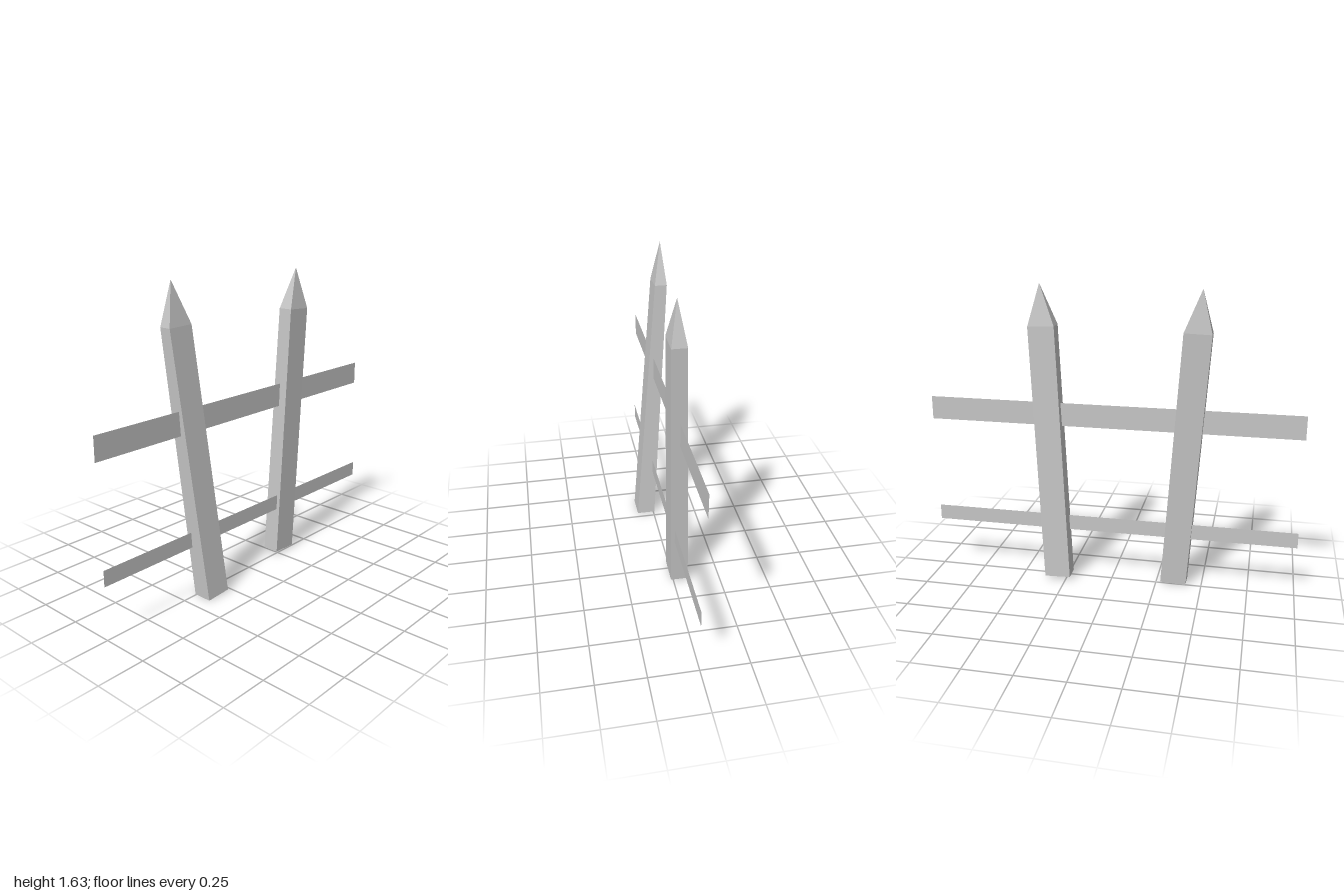
import * as THREE from 'three';

// Four corners of a post section, counter-clockwise seen from above
function section(x0, x1, z0, z1, yLeft, yRight) {
  return [[x0, yLeft, z1], [x1, yRight, z1], [x1, yRight, z0], [x0, yLeft, z0]];
}

// Hollow leaning post, open at the foot, with a four-sided point
function makePost(name, bottom, top, apex, material) {
  const points = [];
  for (let i = 0; i < 4; i++) {
    const j = (i + 1) % 4;
    points.push(bottom[i], bottom[j], top[j], bottom[i], top[j], top[i]);
    points.push(top[i], top[j], apex);
  }
  const geometry = new THREE.BufferGeometry();
  geometry.setAttribute('position', new THREE.Float32BufferAttribute(points.flat(), 3));
  geometry.computeVertexNormals();
  const post = new THREE.Mesh(geometry, material);
  post.name = name;
  return post;
}

// Flat board running the full width
function makeRail(name, y0, y1, z, material) {
  const rail = new THREE.Mesh(new THREE.PlaneGeometry(2, y1 - y0), material);
  rail.position.set(0, (y0 + y1) / 2, z);
  rail.name = name;
  return rail;
}

export function createModel() {
  const wood = new THREE.MeshStandardMaterial({ color: 0xc6c6c6 });
  wood.name = 'paleGreyWood';
  wood.side = THREE.DoubleSide;
  wood.flatShading = true;

  const fence = new THREE.Group();
  fence.name = 'fence';
  fence.add(
    makePost('rightPost',
      section(-0.415, -0.275, -0.005, 0.096, 0, 0.008),
      section(-0.518, -0.376, -0.097, -0.032, 1.41, 1.415),
      [-0.464, 1.63, -0.075], wood),
    makePost('leftPost',
      section(0.224, 0.365, -0.077, 0.015, 0.02, 0.015),
      section(0.295, 0.436, -0.041, 0.037, 1.417, 1.41),
      [0.378, 1.63, 0], wood),
    makeRail('upperRail', 0.881, 1.007, -0.016, wood),
    makeRail('lowerRail', 0.278, 0.362, 0, wood),
  );
  return fence;
}
